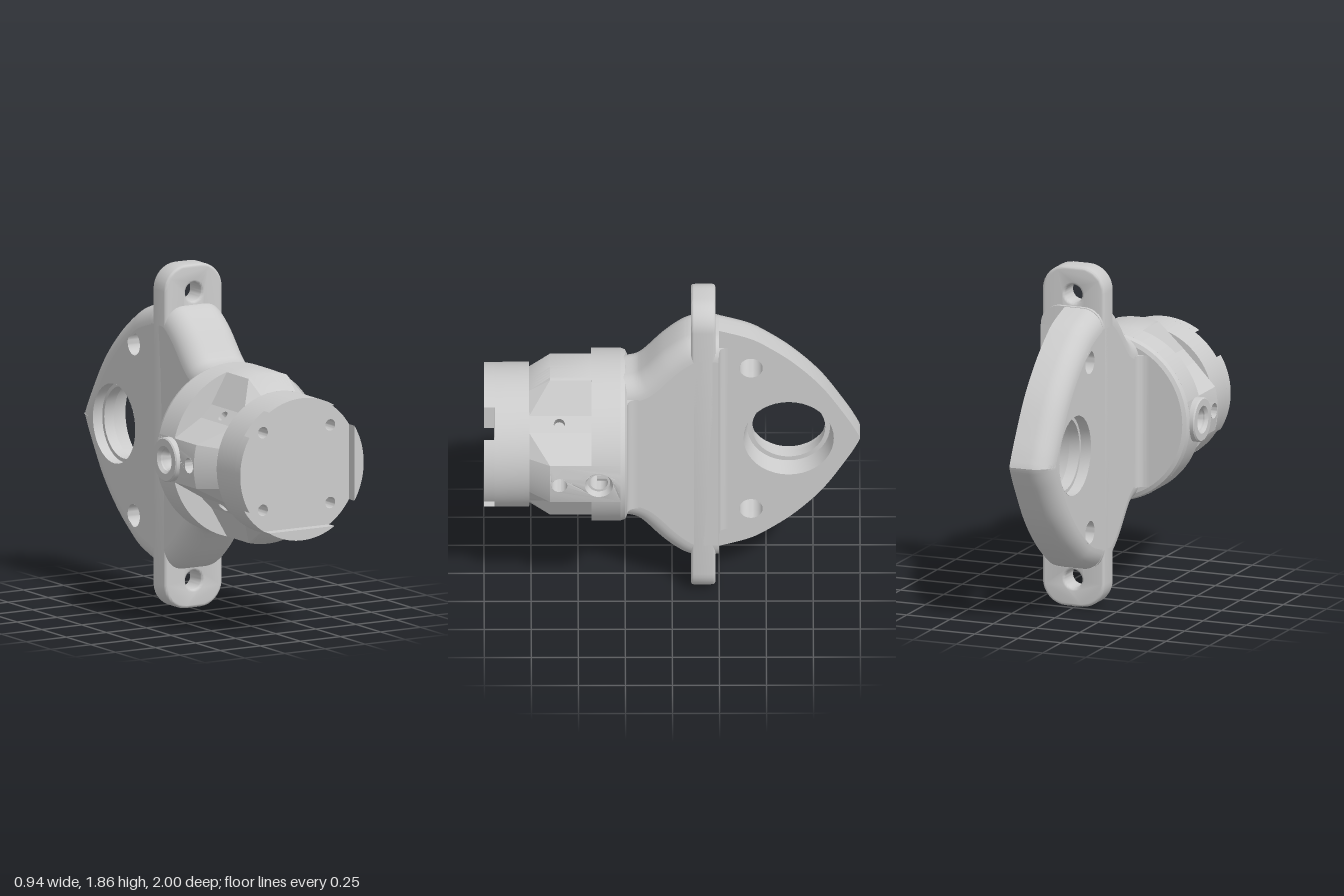
import * as THREE from 'three';
import { toCreasedNormals } from 'three/addons/utils/BufferGeometryUtils.js';

const material = new THREE.MeshStandardMaterial({ color: 0xcccccc, side: THREE.DoubleSide });

function add(parent, name, geometry, crease = 0.6) {
  const mesh = new THREE.Mesh(toCreasedNormals(geometry, crease), material);
  mesh.name = name;
  parent.add(mesh);
  return mesh;
}

// Moves every vertex by a rule
function remap(geometry, rule) {
  const p = geometry.attributes.position;
  for (let i = 0; i < p.count; i++) p.setXYZ(i, ...rule(p.getX(i), p.getY(i), p.getZ(i)));
  return geometry;
}

// Skin through a row of cross-sections
function loft(sections, closed) {
  const n = sections[0].length, index = [];
  for (let s = 0; s + 1 < sections.length; s++) {
    for (let i = 0; i < (closed ? n : n - 1); i++) {
      const a = s * n + i, b = s * n + (i + 1) % n;
      index.push(a, b, a + n, b, b + n, a + n);
    }
  }
  const g = new THREE.BufferGeometry();
  g.setAttribute('position', new THREE.Float32BufferAttribute(sections.flat(2), 3));
  g.setIndex(index);
  return g;
}

// Flat shape with round holes given as [x, y, radius]
function holed(points, holes = []) {
  const shape = new THREE.Shape(points.map(p => new THREE.Vector2(p[0], p[1])));
  for (const [x, y, r] of holes) shape.holes.push(new THREE.Path().absarc(x, y, r, 0, Math.PI * 2, true));
  return shape;
}

const circle = (r, n = 96) => Array.from({ length: n }, (_, i) =>
  [r * Math.cos(i / n * Math.PI * 2), r * Math.sin(i / n * Math.PI * 2)]);

// Lathe turned about z, profile as [radius, z]
const turned = (profile, start = 0, length = Math.PI * 2) => new THREE.LatheGeometry(
  profile.map(p => new THREE.Vector2(...p)), 96, start, length).rotateX(Math.PI / 2);

// Hole wall or boss: profile as [radius, distance along dir]
function bore(parent, name, profile, pos, dir) {
  const mesh = add(parent, name, new THREE.LatheGeometry(profile.map(p => new THREE.Vector2(...p)), 40));
  mesh.position.set(...pos);
  mesh.quaternion.setFromUnitVectors(new THREE.Vector3(0, 1, 0), new THREE.Vector3(...dir).normalize());
}

// Slab across x: half outline [z, h] is mirrored in h, sections are [x, inset]
function slab(parent, name, half, sections, holesFirst, holesLast) {
  const curve = new THREE.SplineCurve(half.map(p => new THREE.Vector2(...p)));
  const pts = curve.getPoints(48);
  const outline = inset => {
    const up = pts.map((p, i) => {
      const a = pts[Math.max(i - 1, 0)], b = pts[Math.min(i + 1, pts.length - 1)];
      let n = new THREE.Vector2(b.y - a.y, a.x - b.x).normalize();
      if (p.y < 1e-4) n = new THREE.Vector2(-1, 0);
      return [p.x - n.x * inset, Math.max(p.y - n.y * inset, 0)];
    });
    return [...up, ...up.slice().reverse().map(([z, h]) => [z, -h])];
  };
  add(parent, name + 'Edge', loft(sections.map(([x, d]) => outline(d).map(([z, h]) => [x, h, z])), true), 0.5);
  [[sections[0], holesFirst], [sections.at(-1), holesLast]].forEach(([[x, d], holes]) =>
    add(parent, name + 'Face', remap(new THREE.ShapeGeometry(holed(outline(d), holes), 32), (z, h) => [x, h, z])));
}

// Rounded inner corner running up y
function fillet(parent, name, cx, cz, sx, r, halfHeight) {
  const s = new THREE.Shape();
  s.moveTo(0, 0);
  s.lineTo(sx * r, 0);
  s.quadraticCurveTo(0, 0, 0, -r);
  const g = new THREE.ExtrudeGeometry(s, { depth: 2 * halfHeight, bevelEnabled: false });
  add(parent, name, remap(g, (x, z, h) => [cx + x, h - halfHeight, cz + z]));
}

function buildBarrel(barrel) {
  const R = 0.46, nose = 0.385, w = 0.12, a = w / R;

  // Collar: back face, rounded rim and side arcs broken at the left and right ribs
  add(barrel, 'collarBack', new THREE.ShapeGeometry(holed(circle(0.43), [[0.34, 0, 0.045]]), 24).translate(0, 0, 0.24));
  bore(barrel, 'backHole', [[0.045, 0], [0.045, 0.16], [0, 0.16]], [0.34, 0, 0.24], [0, 0, 1]);
  add(barrel, 'collarRim', turned([[0.43, 0.24], [0.451, 0.25], [R, 0.275]]));
  for (const s of [1, 3]) {
    add(barrel, 'collarSide', turned([[R, 0.275], [R, 0.43], [0.3, 0.43]], s * Math.PI / 2 + a, Math.PI - 2 * a));
  }

  // Four ribs with sloped flanks, and the flat pocket floors between them
  const arc = (r, half, z) => Array.from({ length: 13 }, (_, i) => {
    const t = (i / 6 - 1) * half / r;
    return [r * Math.cos(t), r * Math.sin(t), z];
  });
  const steps = [[R, w, 0.43], [R, w, 0.65], [nose, 0.11, 0.76]];
  const span = [...Array(13).keys()].map(i => (i / 6 - 1) * w);
  for (let k = 0; k < 4; k++) {
    const quarter = new THREE.Group();
    quarter.name = 'ribAndPocket';
    quarter.rotation.z = k * Math.PI / 2;
    barrel.add(quarter);
    for (const s of [-1, 1]) {
      add(quarter, 'ribFlank', loft(steps.map(([r, half, z]) =>
        [[0.28, s * 0.215, z], [r * Math.cos(half / r), s * r * Math.sin(half / r), z]])));
    }
    const tops = steps.map(p => arc(...p));
    const drilled = k % 2 === 0;
    add(quarter, 'ribTop', loft(drilled ? tops.slice(1) : tops));
    if (drilled) {
      const rim = k === 0 ? 0.075 : 0.06;
      const outline = [...span.map(s => [s, 0.275]), ...span.slice().reverse().map(s => [s, 0.65])];
      const skin = new THREE.ShapeGeometry(holed(outline, [[0, 0.39, rim], [0, 0.6, 0.042]]), 20);
      add(quarter, 'drilledRibTop', remap(skin, (s, z) => [R * Math.cos(s / R), R * Math.sin(s / R), z]));
      bore(quarter, 'largeSideHole', [[rim, 0], [rim - 0.015, 0.03], [0.048, 0.03], [0.048, 0.2], [0, 0.2]], [R, 0, 0.39], [-1, 0, 0]);
      bore(quarter, 'smallSideHole', [[0.042, 0], [0.042, 0.18], [0, 0.18]], [R, 0, 0.6], [-1, 0, 0]);
    }
    const floor = new THREE.ShapeGeometry(holed([[-0.065, 0.43], [0.065, 0.43], [0.065, 0.76], [-0.065, 0.76]], [[0, 0.6, 0.03]]), 16);
    add(quarter, 'pocketFloor', remap(floor, (s, z) => [0.35, s, z])).rotation.z = Math.PI / 4;
    bore(quarter, 'pocketHole', [[0.03, 0], [0.03, 0.12], [0, 0.12]], [0.2475, 0.2475, 0.6], [-1, -1, 0]);

    // Tab standing proud of the nose face
    const t = Math.acos(0.327 / nose);
    const tab = new THREE.Shape().absarc(0, 0, nose, -t, t, false);
    add(quarter, 'noseTab', new THREE.ExtrudeGeometry(tab, { depth: 0.055, bevelEnabled: false, curveSegments: 16 }).translate(0, 0, 0.945));
  }

  // Boss around the right side hole
  bore(barrel, 'sideBoss', [[0.12, -0.06], [0.12, 0.018], [0.113, 0.025], [0.075, 0.025], [0.06, 0.01], [0.06, -0.02]], [-R, 0, 0.39], [-1, 0, 0]);

  // Nose with four blind holes in its face
  add(barrel, 'nose', turned([[0.27, 0.76], [nose, 0.76], [nose, 0.945]]));
  const spots = [[1, 1], [1, -1], [-1, 1], [-1, -1]].map(([x, y]) => [x * 0.21, y * 0.21, 0.031]);
  add(barrel, 'noseFace', new THREE.ShapeGeometry(holed(circle(nose), spots), 20).translate(0, 0, 0.945));
  for (const [x, y, r] of spots) bore(barrel, 'noseHole', [[r, 0], [r, 0.12], [0, 0.12]], [x, y, 0.945], [0, 0, -1]);
}

function buildBracket(bracket) {
  const left = 0.19, right = -0.168, step = 0.05, r = 0.11;
  const round = [...Array(9).keys()].map(i => {
    const t = i / 8 * Math.PI / 2;
    return [r * (1 - Math.sin(t)), r * (1 - Math.cos(t))]; // [depth from face, inset]
  }).reverse(); // starts at the face
  const rightSide = round.map(([d, inset]) => [right + d, r - inset === 0 ? r : inset]);
  const leftSide = round.slice().reverse().map(([d, inset]) => [left - d, inset]);

  // Neck: thick block rounded on both sides
  slab(bracket, 'neck', [[0.27, 0.445], [0.2, 0.46], [0.15, 0.5], [0.05, 0.61], [-0.05, 0.69], [-0.13, 0.716], [-0.25, 0.715]],
    [...rightSide, ...leftSide]);
  add(bracket, 'neckBack', new THREE.PlaneGeometry(left - step, 1.21).translate((left + step) / 2, 0, -0.25));

  // Thin rear plate, rounded on its right side only
  const small = [[-0.42, 0.465, 0.062], [-0.42, -0.465, 0.062]];
  slab(bracket, 'rearPlate', [[-0.24, 0.715], [-0.4, 0.665], [-0.5, 0.61], [-0.65, 0.495], [-0.8, 0.335], [-0.93, 0.135], [-0.985, 0.035], [-1, 0]],
    [...rightSide, [step, 0]], [[-0.62, 0, 0.215], ...small], [[-0.62, 0, 0.24], ...small]);
  bore(bracket, 'largePlateHole', [[0.24, step], [0.22, -0.05], [0.195, -0.05], [0.195, -0.11], [0.215, -0.11], [0.215, right]],
    [0, 0, -0.62], [1, 0, 0]);
  for (const [z, h, rad] of small) bore(bracket, 'smallPlateHole', [[rad, step], [rad, right]], [0, h, z], [1, 0, 0]);

  // Inner corners at the plate step and at the collar
  fillet(bracket, 'stepFillet', step, -0.25, 1, 0.05, 0.6);
  fillet(bracket, 'neckFilletLeft', left, 0.24, 1, 0.06, 0.36);
  fillet(bracket, 'neckFilletRight', right, 0.24, -1, 0.06, 0.36);

  // Mounting strap with rounded ends and a screw hole in each
  const bevel = 0.015, hw = 0.179 - bevel, hh = 0.93 - bevel, c = 0.12, corners = [];
  [[1, 1], [-1, 1], [-1, -1], [1, -1]].forEach(([sx, sy], k) => {
    for (let i = 0; i <= 8; i++) {
      const t = (k + i / 8) * Math.PI / 2;
      corners.push([sx * (hw - c) + c * Math.cos(t), sy * (hh - c) + c * Math.sin(t)]);
    }
  });
  const strap = new THREE.ExtrudeGeometry(holed(corners, [[0, 0.78, 0.065], [0, -0.78, 0.065]]),
    { depth: 0.13 - 2 * bevel, bevelSize: bevel, bevelThickness: bevel, bevelSegments: 3, curveSegments: 20 });
  add(bracket, 'mountingStrap', strap.translate(0.011, 0, -0.23 + bevel));
}

export function createModel() {
  const model = new THREE.Group();
  model.name = 'housing';
  const barrel = new THREE.Group(), bracket = new THREE.Group();
  barrel.name = 'barrel';
  bracket.name = 'bracket';
  barrel.position.set(0.01, 0.93, 0);
  bracket.position.set(0, 0.93, 0);
  buildBarrel(barrel);
  buildBracket(bracket);
  model.add(barrel, bracket);
  return model;
}
